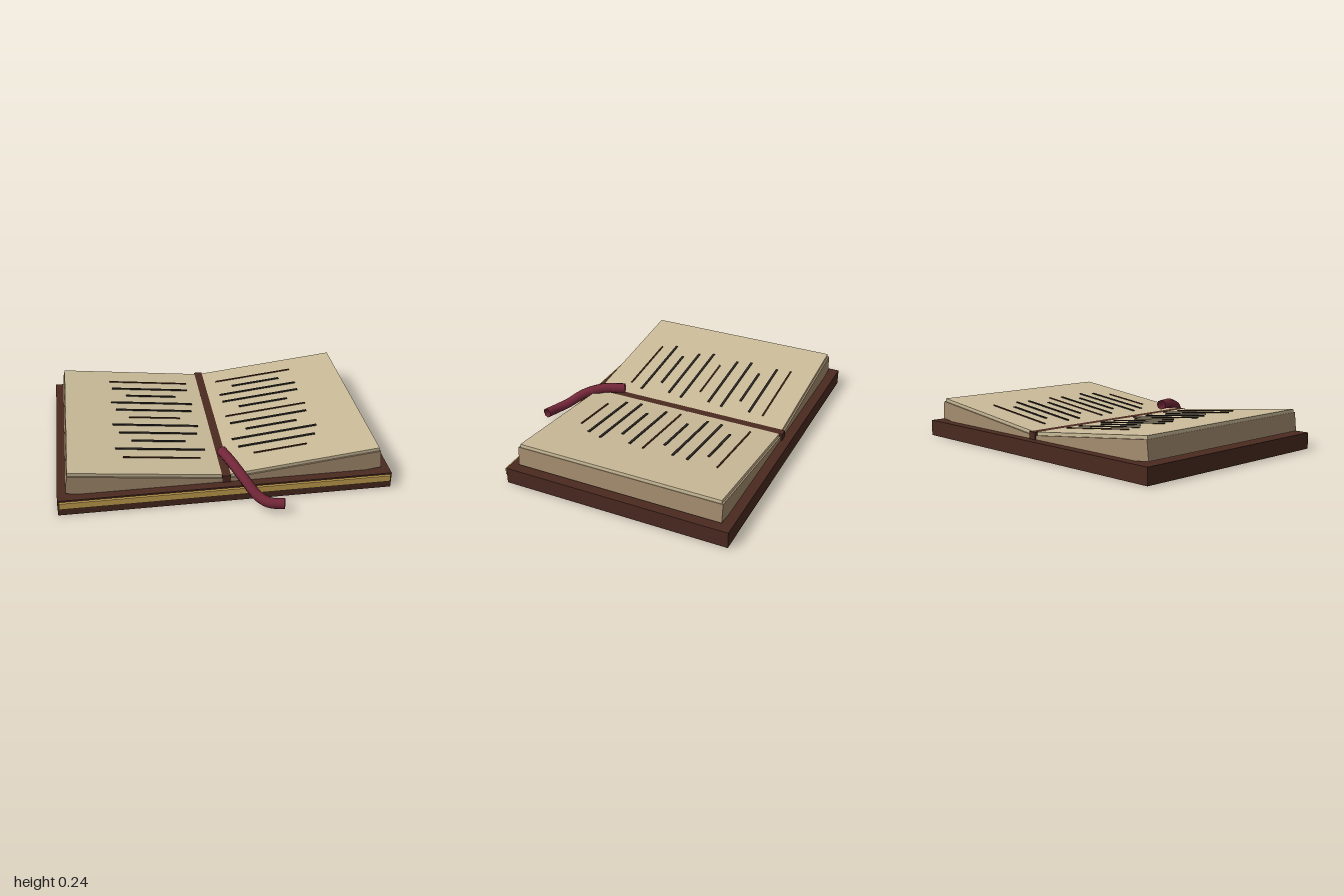
import * as THREE from 'three';

const material = (name, color) => {
  const m = new THREE.MeshStandardMaterial({ color });
  m.name = name;
  return m;
};

export function createModel() {
  const leather = material('brown leather', 0x4a2a20);
  const gold = material('gold trim', 0xc9a352);
  const paper = material('page paper', 0xcbbc99);
  const edge = material('page edges', 0xa68e70);
  const ink = material('dark ink', 0x2e2924);
  const brownInk = material('brown ink', 0x4e2c1a);
  const ribbonRed = material('ribbon red', 0x732739);
  ribbonRed.side = THREE.DoubleSide;

  const model = new THREE.Group();
  model.name = 'openBook';

  const box = (parent, name, mat, size, pos) => {
    const mesh = new THREE.Mesh(new THREE.BoxGeometry(...size), mat);
    mesh.name = name;
    mesh.position.set(...pos);
    parent.add(mesh);
  };

  // Cover board, gilt strip along the front and central spine
  box(model, 'cover', leather, [2, 0.1, 1.405], [0, 0.05, -0.0975]);
  box(model, 'goldStrip', gold, [1.98, 0.04, 0.03], [0, 0.07, 0.605]);
  box(model, 'spine', leather, [0.052, 0.05, 1.305], [0, 0.12, -0.0965]);

  // Distances from the spine at which each line of writing starts and ends
  const lines = {
    leftPage: [[0.1, 0.62], [0.2, 0.525], [0.1, 0.62], [0.105, 0.615], [0.2, 0.525], [0.095, 0.625],
      [0.11, 0.61], [0.195, 0.525], [0.09, 0.63], [0.115, 0.6], [0.195, 0.525]],
    rightPage: [[0.105, 0.63], [0.11, 0.62], [0.2, 0.53], [0.1, 0.635], [0.115, 0.61], [0.2, 0.53],
      [0.095, 0.64], [0.115, 0.605], [0.2, 0.535], [0.09, 0.64], [0.13, 0.6]],
  };

  // Two page blocks that rise away from the spine
  for (const [name, s] of [['leftPage', 1], ['rightPage', -1]]) {
    const page = new THREE.Group();
    page.name = name;
    page.position.set(s * 0.008, 0.143, -0.095);
    page.rotation.z = s * 0.11;
    model.add(page);
    box(page, 'pageBlock', edge, [0.932, 0.115, 1.29], [s * 0.466, -0.0775, 0]);
    box(page, 'topSheet', paper, [0.928, 0.022, 1.27], [s * 0.464, -0.011, 0]);

    // Lines of writing, every fifth one thin and brown
    lines[name].forEach(([a, b], i) => {
      const accent = i % 5 === 0;
      box(page, 'writingLine', accent ? brownInk : ink,
        [b - a, 0.006, accent ? 0.009 : 0.014],
        [s * ((a + b) / 2 - 0.005), 0.007, -0.475 + i * 0.094]);
    });
  }

  // Ribbon bookmark falling over the front edge
  const path = new THREE.CatmullRomCurve3([
    [0, 0.19, 0.35], [0.045, 0.182, 0.48], [0.1, 0.14, 0.6],
    [0.16, 0.08, 0.685], [0.22, 0.058, 0.735], [0.31, 0.06, 0.765],
  ].map((p) => new THREE.Vector3(...p)));
  const ribbon = new THREE.Mesh(new THREE.TubeGeometry(path, 24, 0.032, 8), ribbonRed);
  ribbon.name = 'ribbonBookmark';
  model.add(ribbon);

  return model;
}
